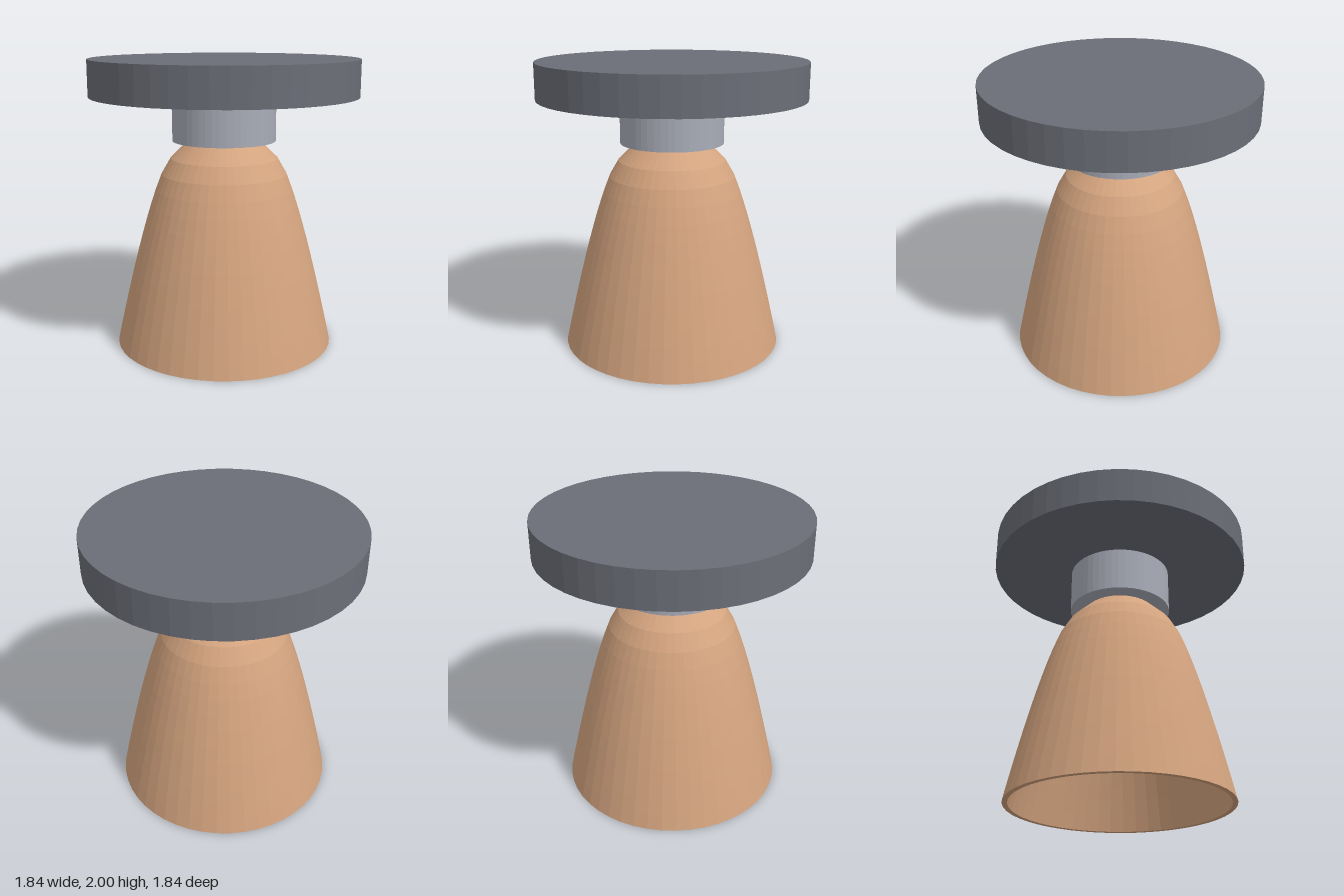
import * as THREE from 'three';

const SIDES = 48;

const flat = (name, color) => {
  const m = new THREE.MeshStandardMaterial({ color });
  m.name = name;
  return m;
};

export function createModel() {
  const plateGrey = flat('darkGrey', 0x6b6e77);
  const steel = flat('lightSteel', 0xa9adb8);
  const copper = flat('copper', 0xd4a47f);
  const group = new THREE.Group();

  const add = (name, geometry, material, y = 0) => {
    const g = geometry.toNonIndexed();
    g.computeVertexNormals(); // faceted sides
    const mesh = new THREE.Mesh(g, material);
    mesh.name = name;
    mesh.position.y = y;
    group.add(mesh);
  };

  // Round mounting plate and the short chamber beneath it
  add('mountingPlate', new THREE.CylinderGeometry(0.92, 0.92, 0.25, SIDES), plateGrey, 1.875);
  add('chamber', new THREE.CylinderGeometry(0.358, 0.358, 0.31, SIDES), steel, 1.595);

  // Hollow bell: curved skirt from rim to shoulder, then a straight cone to the throat
  const STEPS = 12, SHOULDER = 1.32, WALL = 0.035;
  const outer = [];
  for (let i = 0; i <= STEPS; i++) {
    const t = 1 - i / STEPS;
    outer.push(new THREE.Vector2(0.372 + 0.393 * Math.pow(t, 0.73), SHOULDER * (1 - t)));
  }
  outer.push(new THREE.Vector2(0.25, 1.44));
  const inner = outer.map((p) => new THREE.Vector2(p.x - WALL, p.y)).reverse();
  const profile = [...outer, ...inner, outer[0].clone()];
  add('nozzleBell', new THREE.LatheGeometry(profile, SIDES), copper);

  return group;
}
